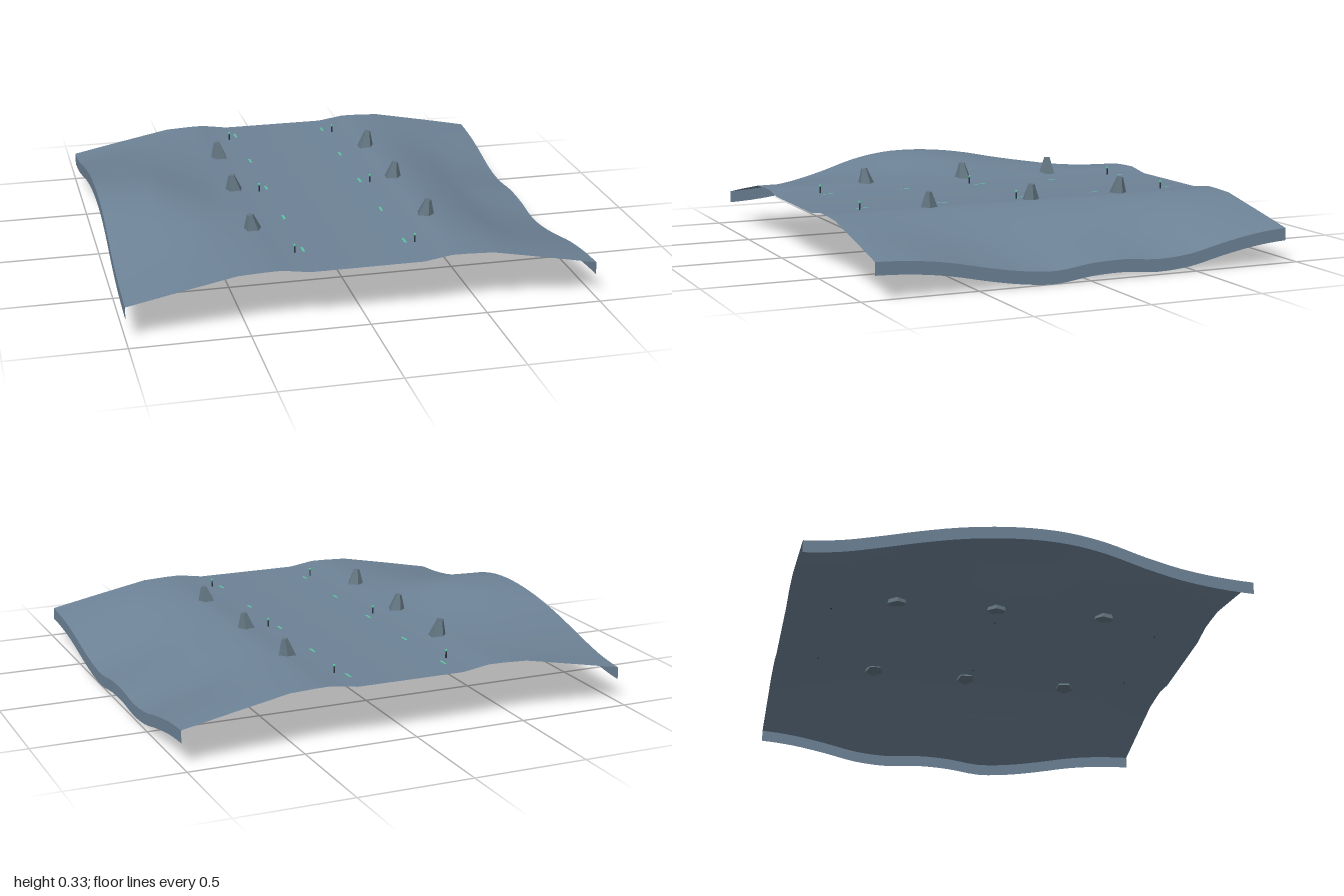
import * as THREE from 'three';

const ground = new THREE.MeshStandardMaterial({ name: 'slateGround', color: 0x6d8296, side: THREE.DoubleSide });
const stone = new THREE.MeshStandardMaterial({ name: 'darkStone', color: 0x62747f, flatShading: true });
const dark = new THREE.MeshStandardMaterial({ name: 'postDark', color: 0x2b353d });
const green = new THREE.MeshStandardMaterial({ name: 'markerGreen', color: 0x58c89c });

const HALF_Z = 0.94, ROAD_Y = 0.236, SKIRT = 0.054, ROWS = 36;

// Cross-section of one side: x, height at the tile ends, shares of the inner and outer hill offsets
const section = [
  [0.24, ROAD_Y, 0, 0], [0.36, 0.254, 0, 0], [0.43, 0.253, 0, 0], [0.54, 0.248, 0.2, 0],
  [0.66, 0.225, 0.62, 0], [0.79, 0.2, 1, 0], [1, 0.158, 0, 1],
];
const columns = [...section.map(([x, ...rest]) => [-x, ...rest]).reverse(), ...section];

// Hill offsets along z, evenly spaced from front to back
const curve = (ys) => new THREE.SplineCurve(ys.map((y, i) => new THREE.Vector2(i, y)));
const valley = {
  inner: curve([0, -0.01, -0.035, -0.06, -0.078, -0.081, -0.078, -0.074, -0.07, -0.055, -0.03, -0.01, 0]),
  outer: curve([0, -0.008, -0.028, -0.06, -0.087, -0.099, -0.08, -0.075, -0.087, -0.076, -0.042, -0.014, 0]),
};
const hill = {
  inner: curve([0, 0.008, 0.02, 0.045, 0.085, 0.123, 0.13, 0.113, 0.088, 0.065, 0.04, 0.015, 0]),
  outer: curve([0, 0.01, 0.033, 0.073, 0.122, 0.151, 0.157, 0.147, 0.125, 0.092, 0.053, 0.018, 0]),
};

function height([x, y, inner, outer], z) {
  const t = THREE.MathUtils.clamp((HALF_Z - z) / (2 * HALF_Z), 0, 1);
  const side = x < 0 ? hill : valley;
  return y + inner * side.inner.getPoint(t).y + outer * side.outer.getPoint(t).y;
}

// Grid whose corners are placed by a rule
function sheet(nx, ny, place) {
  const g = new THREE.PlaneGeometry(1, 1, nx, ny);
  for (let j = 0, k = 0; j <= ny; j++)
    for (let i = 0; i <= nx; i++, k++) g.attributes.position.setXYZ(k, ...place(i, j));
  g.computeVertexNormals();
  return g;
}

function add(parent, name, geometry, material, x = 0, y = 0, z = 0) {
  const mesh = new THREE.Mesh(geometry, material);
  mesh.name = name;
  mesh.position.set(x, y, z);
  parent.add(mesh);
  return mesh;
}

export function createModel() {
  const model = new THREE.Group();
  model.name = 'terrainTile';

  // Rolling ground with a shallow sunken road along the middle
  add(model, 'terrain', sheet(columns.length - 1, ROWS, (i, j) => {
    const z = HALF_Z * (2 * j / ROWS - 1);
    return [columns[i][0], height(columns[i], z), z];
  }), ground);

  // Hanging edges on the two long sides
  for (const side of [-1, 1]) {
    const col = side < 0 ? columns[0] : columns[columns.length - 1];
    add(model, side < 0 ? 'rightSkirt' : 'leftSkirt', sheet(ROWS, 1, (i, j) => {
      const z = side * HALF_Z * (1 - 2 * i / ROWS);
      return [side, height(col, z) - j * SKIRT, z];
    }), ground);
  }

  // Rocks, posts and lane dashes, mirrored across the road
  const rockGeo = new THREE.CylinderGeometry(0.014, 0.044, 0.088, 5);
  const postGeo = new THREE.CylinderGeometry(0.003, 0.004, 0.036, 8);
  const capGeo = new THREE.SphereGeometry(0.006, 10, 8);
  const dashGeo = new THREE.PlaneGeometry(0.01, 0.05).rotateX(-Math.PI / 2);
  for (const side of [-1, 1]) {
    [[0.365, -0.47, 1], [0.378, -0.025, 0.95], [0.39, 0.465, 0.94]].forEach(([x, z, size], i) => {
      const rock = add(model, 'rock', rockGeo, stone, side * x, 0.24 + 0.042 * size, z);
      rock.scale.y = size;
      rock.rotation.order = 'ZXY';
      rock.rotation.set(0.06 * (i - 1), i * 1.1 + side * 0.4, -side * 0.14);
    });
    for (const z of [-0.745, -0.01, 0.73]) {
      add(model, 'post', postGeo, dark, side * 0.26, ROAD_Y + 0.018, z);
      add(model, 'postCap', capGeo, green, side * 0.26, ROAD_Y + 0.036, z);
    }
    for (let i = 0; i < 5; i++)
      add(model, 'laneDash', dashGeo, green, side * 0.22, ROAD_Y + 0.003, -0.795 + i * 0.375);
  }
  return model;
}
